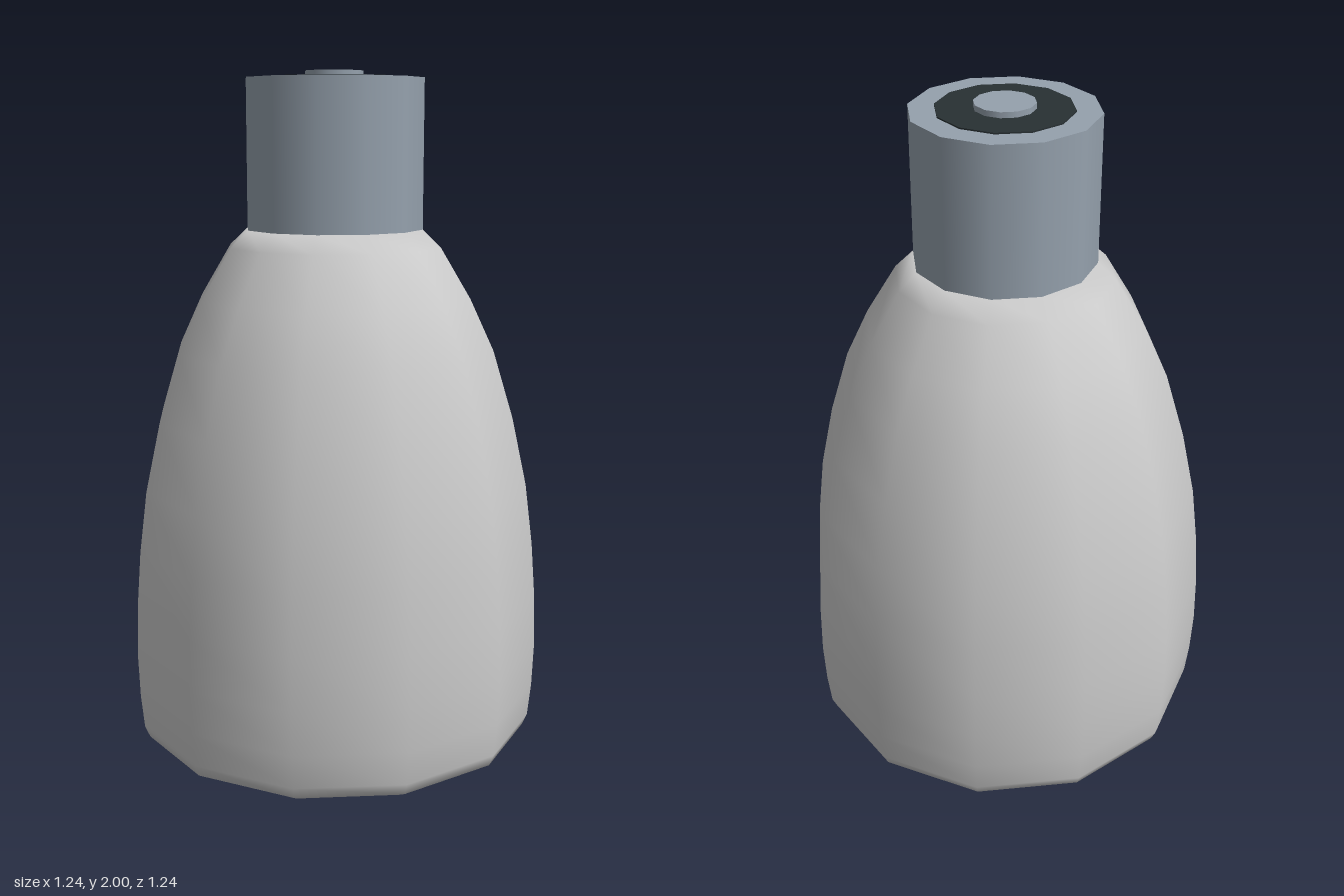
import * as THREE from 'three';

const SIDES = 12;

function mesh(name, geometry, color) {
  const m = new THREE.Mesh(geometry, new THREE.MeshStandardMaterial({ color }));
  m.name = name;
  return m;
}

// Twelve-sided cylinder standing between two heights
function disc(name, radius, y0, y1, color) {
  const m = mesh(name, new THREE.CylinderGeometry(radius, radius, y1 - y0, SIDES), color);
  m.position.y = (y0 + y1) / 2;
  return m;
}

export function createModel() {
  const group = new THREE.Group();
  group.name = 'bottle';

  // Bulging body with a rounded foot, narrowing to the neck
  const profile = [
    [0, 0], [0.45, 0.003], [0.55, 0.013], [0.59, 0.035], [0.605, 0.07], [0.615, 0.17],
    [0.62, 0.3], [0.616, 0.45], [0.603, 0.62], [0.58, 0.8], [0.536, 1.0],
    [0.475, 1.2], [0.405, 1.35], [0.315, 1.5], [0.262, 1.55], [0, 1.55],
  ].map(([r, y]) => new THREE.Vector2(r, y));
  group.add(mesh('body', new THREE.LatheGeometry(profile, SIDES), 0xcccccc));

  // Metal collar, dark insert and centre pin
  group.add(disc('collar', 0.262, 1.548, 1.98, 0x95a1ad));
  group.add(disc('insert', 0.19, 1.9, 1.984, 0x283033));
  group.add(disc('pin', 0.085, 1.9, 2.0, 0x95a1ad));

  return group;
}
